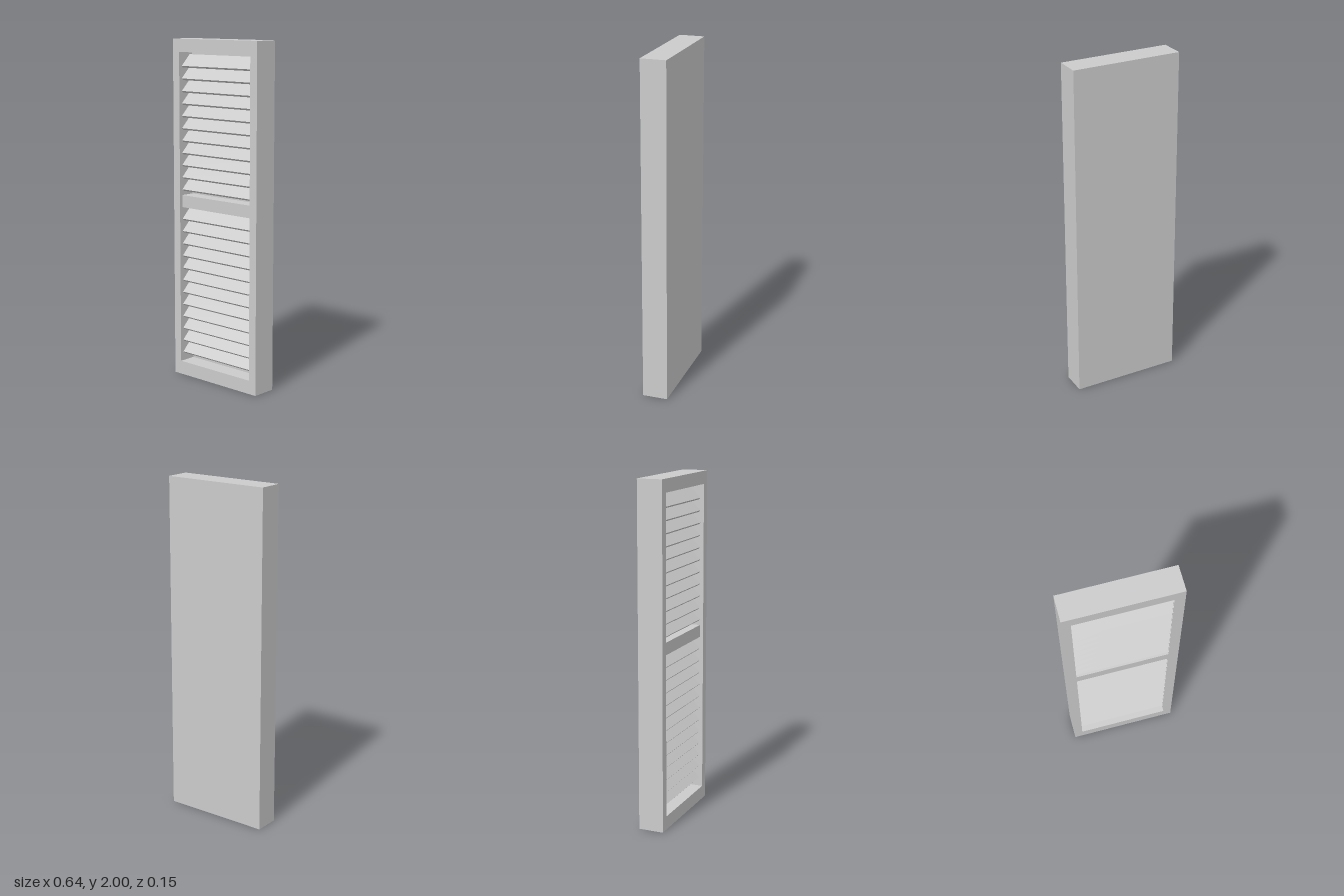
import * as THREE from 'three';

const W = 0.645, H = 2, FRONT = 0.074, PANEL = -0.03; // overall size, panel face depth
const OPEN_W = 0.546, OPEN_BOTTOM = 0.08, OPEN_TOP = 1.925;

export function createModel() {
  const group = new THREE.Group();
  const material = new THREE.MeshStandardMaterial({ color: 0xcccccc });

  function add(name, geometry, x, y, z, parent = group) {
    const mesh = new THREE.Mesh(geometry, material);
    mesh.name = name;
    mesh.position.set(x, y, z);
    parent.add(mesh);
    return mesh;
  }

  function rectangle(target, x, y0, y1) {
    target.moveTo(-x, y0);
    target.lineTo(x, y0);
    target.lineTo(x, y1);
    target.lineTo(-x, y1);
    target.closePath();
    return target;
  }

  // Outer frame with one tall opening
  const outline = rectangle(new THREE.Shape(), W / 2, 0, H);
  outline.holes.push(rectangle(new THREE.Path(), OPEN_W / 2, OPEN_BOTTOM, OPEN_TOP));
  const frame = new THREE.ExtrudeGeometry(outline, { depth: FRONT - PANEL, bevelEnabled: false });
  add('frame', frame, 0, 0, PANEL);

  // Solid back
  const backDepth = FRONT + PANEL;
  add('backPanel', new THREE.BoxGeometry(W, H, backDepth), 0, H / 2, PANEL - backDepth / 2);

  // Rail dividing the two banks of louvres, set back a little
  add('middleRail', new THREE.BoxGeometry(OPEN_W, 0.072, 0.084), 0, 1.054, 0.012);

  // Sloping louvres: front edge low, back edge high
  const slat = new THREE.BoxGeometry(OPEN_W, 0.014, 0.092);
  function addLouvres(name, count, firstY, lastY) {
    const bank = new THREE.Group();
    bank.name = name;
    group.add(bank);
    for (let i = 0; i < count; i++) {
      const y = THREE.MathUtils.lerp(firstY, lastY, i / (count - 1));
      add('slat', slat, 0, y, 0.016, bank).rotation.x = Math.PI / 4;
    }
  }
  addLouvres('upperLouvres', 11, 1.152, 1.872);
  addLouvres('lowerLouvres', 12, 0.162, 0.976);

  return group;
}
